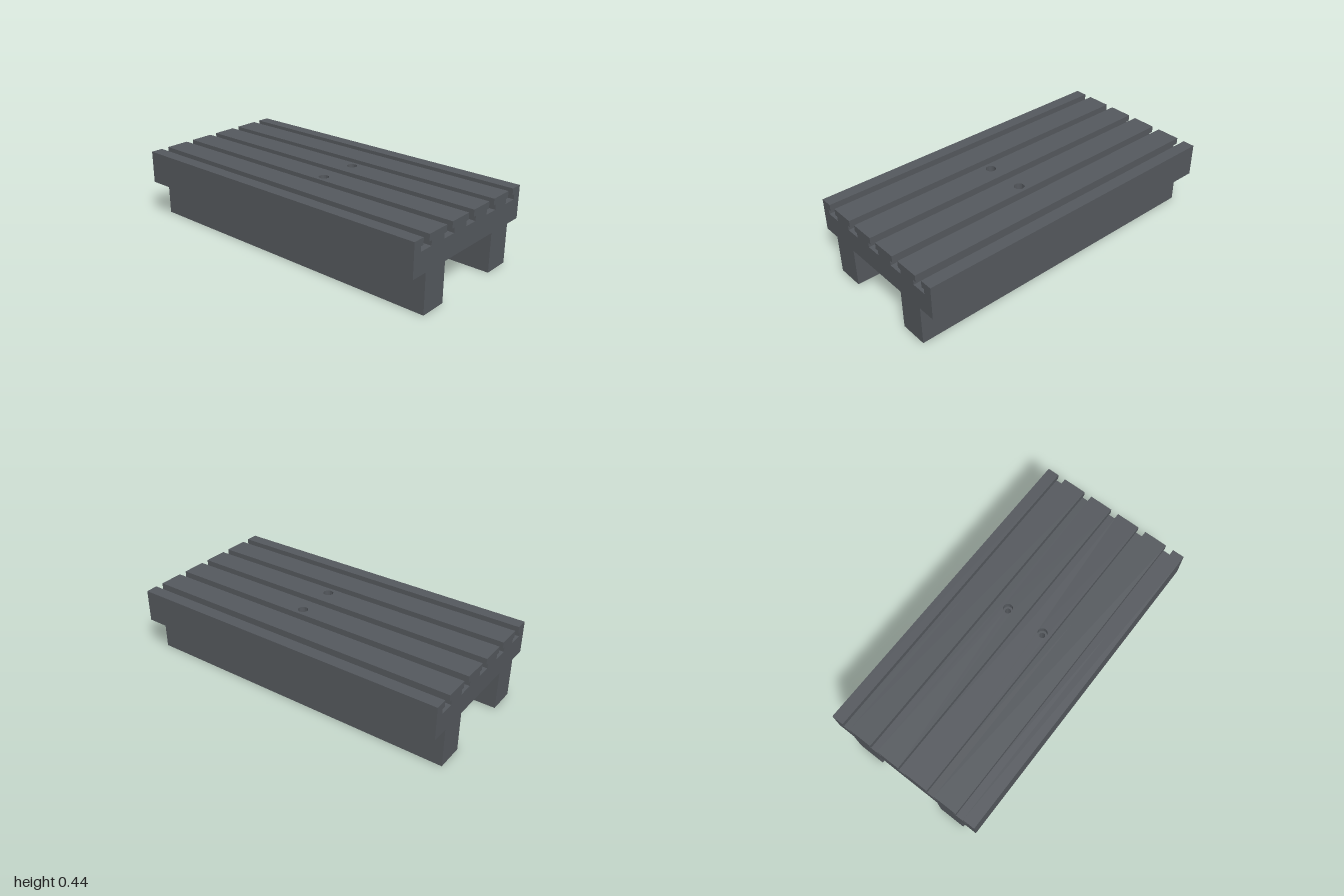
import * as THREE from 'three';
import { mergeGeometries, toCreasedNormals } from 'three/addons/utils/BufferGeometryUtils.js';

const TOP = 0.44, LIP = 0.40, SLOT_FLOOR = 0.37, UNDER = 0.24, POCKET_TOP = 0.28;
const HALF = 1, DEPTH = 0.5, LEG_IN = 0.225, LEG_OUT = 0.393;
const NECK = 0.025, TEE = 0.045, SLOTS = [0.4, 0.2, 0, -0.2, -0.4];
const HOLE_X = 0.1, HOLE_Z = 0.125, BORE = 0.03, DRILL = 0.017;

// flat walls swept along z from a to b, one for each edge given as [p, q]
function walls(edges, a, b) {
  const pos = [];
  for (const [p, q] of edges) {
    const c = [[...p, a], [...q, a], [...q, b], [...p, b]];
    for (const i of [0, 1, 2, 0, 2, 3]) pos.push(...c[i]);
  }
  const g = new THREE.BufferGeometry();
  g.setAttribute('position', new THREE.Float32BufferAttribute(pos, 3));
  g.computeVertexNormals();
  return g;
}

const loopEdges = pts => pts.map((p, i) => [p, pts[(i + 1) % pts.length]]);
const rect = (x0, x1, y0, y1) => [[x0, y0], [x1, y0], [x1, y1], [x0, y1]];
const toShape = pts => new THREE.Shape(pts.map(p => new THREE.Vector2(...p)));

function roundHole(shape, x, y, r) {
  shape.holes.push(new THREE.Path().absarc(x, y, r, 0, Math.PI * 2, true));
}

// horizontal panel at height y, facing up (dir = 1) or down (dir = -1)
function panel(shape, y, dir) {
  return new THREE.ShapeGeometry(shape, 16).rotateX(-dir * Math.PI / 2).translate(0, y, 0);
}

// end profile, anticlockwise as seen from +x (first coordinate is -z)
function profile() {
  const pts = [
    [-DEPTH, UNDER], [-LEG_OUT, UNDER], [-LEG_OUT, 0], [-LEG_IN, 0], [-LEG_IN, UNDER],
    [LEG_IN, UNDER], [LEG_IN, 0], [LEG_OUT, 0], [LEG_OUT, UNDER], [DEPTH, UNDER], [DEPTH, TOP],
  ];
  for (const s of SLOTS) {
    pts.push([s + NECK, TOP], [s + NECK, LIP], [s + TEE, LIP], [s + TEE, SLOT_FLOOR],
      [s - TEE, SLOT_FLOOR], [s - TEE, LIP], [s - NECK, LIP], [s - NECK, TOP]);
  }
  pts.push([-DEPTH, TOP]);
  return pts;
}

export function createModel() {
  const group = new THREE.Group();
  const material = new THREE.MeshStandardMaterial({ color: 0x55595e });
  const add = (name, geometry) => {
    const mesh = new THREE.Mesh(geometry, material);
    mesh.name = name;
    group.add(mesh);
  };
  const pts = profile();

  // long faces, leaving out the edges that carry holes or the pocket
  const opened = ([p, q]) => p[1] === q[1] && (
    (p[1] === TOP && Math.abs(Math.abs(p[0] + q[0]) / 2 - 0.1) < 0.01) ||
    (p[1] === UNDER && Math.abs(p[0] + q[0]) < 0.01));
  add('slottedTableAndRails',
    walls(loopEdges(pts).filter(e => !opened(e)), -HALF, HALF).rotateY(Math.PI / 2));

  // end faces (the profile is symmetric)
  for (const side of [1, -1]) {
    add(side > 0 ? 'leftEnd' : 'rightEnd',
      new THREE.ShapeGeometry(toShape(pts)).rotateY(side * Math.PI / 2).translate(side * HALF, 0, 0));
  }

  // drilled strips between the middle slots
  for (const s of [1, -1]) {
    const strip = toShape(rect(-HALF, HALF, s * 0.1 - 0.075, s * 0.1 + 0.075));
    roundHole(strip, HOLE_X, s * HOLE_Z, BORE);
    add('drilledStrip', panel(strip, TOP, 1));
  }

  // underside between the rails, with the pocket opening
  const pocket = rect(0, 0.2, -0.2, 0.2);
  const under = toShape(rect(-HALF, HALF, -LEG_IN, LEG_IN));
  under.holes.push(new THREE.Path(pocket.map(p => new THREE.Vector2(...p)).reverse()));
  add('underside', panel(under, UNDER, -1));

  // pocket walls and ceiling
  const ceiling = toShape(pocket);
  for (const s of [1, -1]) roundHole(ceiling, HOLE_X, s * HOLE_Z, DRILL);
  add('undersidePocket', mergeGeometries([
    walls(loopEdges([...pocket].reverse()), UNDER, POCKET_TOP).rotateX(-Math.PI / 2),
    panel(ceiling, POCKET_TOP, -1).toNonIndexed().deleteAttribute('uv'),
  ]));

  // counterbored bolt holes
  const bore = [[BORE, TOP], [BORE, LIP], [DRILL, LIP], [DRILL, POCKET_TOP]];
  const boreGeometry = toCreasedNormals(
    new THREE.LatheGeometry(bore.map(p => new THREE.Vector2(...p)), 32), 0.6);
  for (const s of [1, -1]) {
    add('boltHole', boreGeometry.clone().translate(HOLE_X, 0, s * HOLE_Z));
  }
  return group;
}
